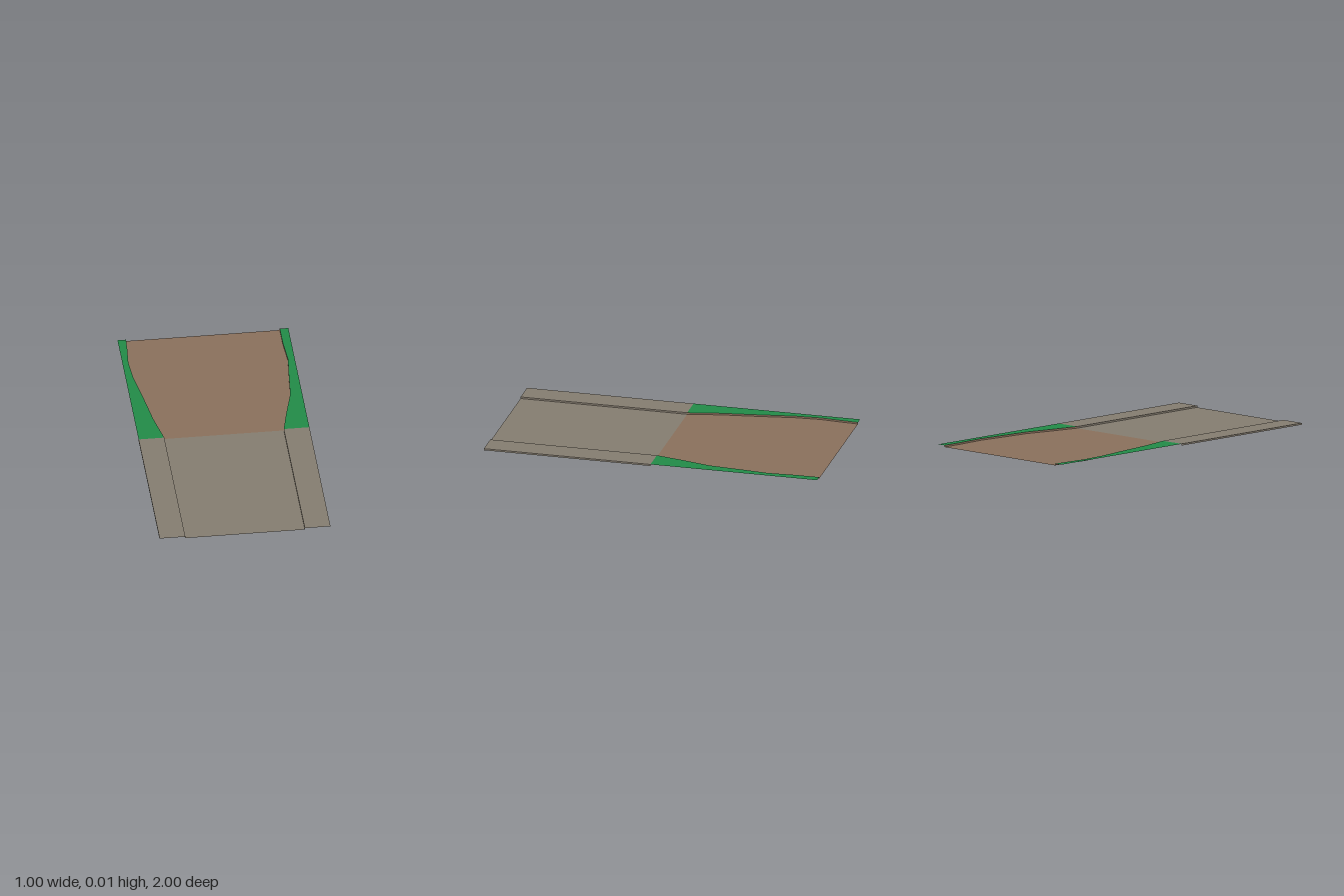
import * as THREE from 'three';

const H = 0.01; // height of kerbs and verges above the roadway

function material(name, color) {
  const m = new THREE.MeshStandardMaterial({ color, side: THREE.DoubleSide });
  m.name = name;
  return m;
}

function mesh(name, geometry, mat) {
  const m = new THREE.Mesh(geometry, mat);
  m.name = name;
  return m;
}

// Horizontal sheet from an outline of [x, z] points
function sheet(name, points, y, mat) {
  const shape = new THREE.Shape(points.map(([x, z]) => new THREE.Vector2(x, -z)));
  const g = new THREE.ShapeGeometry(shape).rotateX(-Math.PI / 2).translate(0, y, 0);
  return mesh(name, g, mat);
}

// Vertical wall of height H along a line of [x, z] points
function wall(name, points, mat) {
  const pos = [];
  for (let i = 0; i + 1 < points.length; i++) {
    const [ax, az] = points[i], [bx, bz] = points[i + 1];
    pos.push(ax, 0, az, bx, 0, bz, bx, H, bz, ax, 0, az, bx, H, bz, ax, H, az);
  }
  const g = new THREE.BufferGeometry();
  g.setAttribute('position', new THREE.Float32BufferAttribute(pos, 3));
  g.computeVertexNormals();
  return mesh(name, g, mat);
}

export function createModel() {
  const group = new THREE.Group();
  group.name = 'roadTile';
  const paving = material('paving grey', 0x857d70);
  const dirt = material('dirt brown', 0x8a705c);
  const grass = material('grass green', 0x228b48);

  // Irregular edges of the dirt track, running from the paving to the back
  const rightEdge = [[-0.35, 0], [-0.39, -0.19], [-0.42, -0.4], [-0.455, -0.62], [-0.465, -0.77], [-0.455, -0.9], [-0.45, -1]];
  const leftEdge = [[0.35, 0], [0.385, -0.16], [0.43, -0.34], [0.445, -0.53], [0.46, -0.69], [0.45, -0.86], [0.45, -1]];

  // Road surfaces
  group.add(sheet('pavedRoad', [[-0.35, 1], [0.35, 1], [0.35, 0], [-0.35, 0]], 0, paving));
  group.add(sheet('dirtRoad', [...leftEdge, ...[...rightEdge].reverse()], 0, dirt));

  for (const [side, s, edge] of [['left', 1, leftEdge], ['right', -1, rightEdge]]) {
    // Raised pavement with inner and outer kerb faces
    group.add(sheet(side + 'Pavement', [[0.35 * s, 0], [0.35 * s, 1], [0.5 * s, 1], [0.5 * s, 0]], H, paving));
    group.add(wall(side + 'InnerKerb', [[0.35 * s, 0], [0.35 * s, 1]], paving));
    group.add(wall(side + 'OuterKerb', [[0.5 * s, 0], [0.5 * s, 1]], paving));
    // Grass verge and the earth bank below it
    group.add(sheet(side + 'Verge', [...edge, [0.5 * s, -1], [0.5 * s, 0]], H, grass));
    group.add(wall(side + 'Bank', edge, dirt));
  }
  return group;
}
